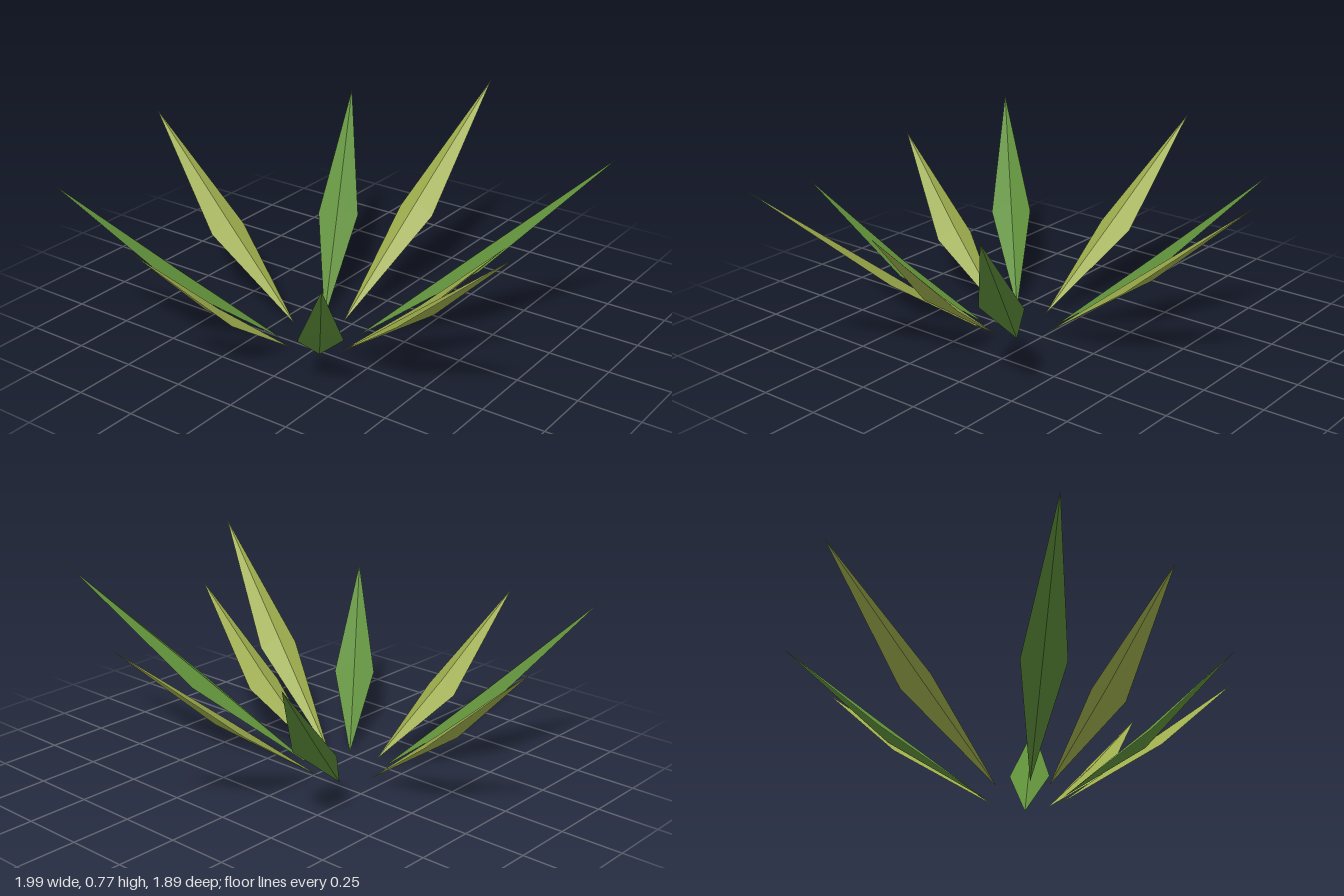
import * as THREE from 'three';

const lime = new THREE.MeshStandardMaterial({ color: 0x9dac4c, side: THREE.DoubleSide });
lime.name = 'limeLeaf';
const green = new THREE.MeshStandardMaterial({ color: 0x5f8f3a, side: THREE.DoubleSide });
green.name = 'greenLeaf';

const HALF_WIDTH = 0.083;
const RIDGE = 0.04; // height of the midrib above the leaf edges

// Three leaf sizes: tip height and height of the widest point
const LARGE = { tip: 0.77, mid: 0.332 };
const MEDIUM = { tip: 0.69, mid: 0.287 };
const SMALL = { tip: 0.61, mid: 0.237 };

// Folded, pointed leaf made of four flat facets
function leafGeometry([bx, bz], [tx, tz], size) {
  const base = new THREE.Vector3(bx, 0, bz);
  const tip = new THREE.Vector3(tx, size.tip, tz);
  const side = new THREE.Vector3(-(tz - bz), 0, tx - bx).setLength(HALF_WIDTH);
  const mid = base.clone().lerp(tip, 0.48).setY(size.mid);
  const a = mid.clone().add(side);
  const b = mid.clone().sub(side);
  const ridge = mid.clone().setY(size.mid + RIDGE);
  const corners = [base, a, ridge, base, ridge, b, a, tip, ridge, ridge, tip, b];
  const geometry = new THREE.BufferGeometry().setFromPoints(corners);
  geometry.computeVertexNormals();
  return geometry;
}

// Rosette: base (x, z), tip (x, z), size, colour
const LEAVES = [
  ['backLeaf', [-0.037, 0.01], [0.046, -0.95], LARGE, lime],
  ['backLeftLeaf', [-0.118, 0.025], [-0.497, -0.697], MEDIUM, green],
  ['leftwardLeaf', [-0.187, 0.13], [-1, -0.012], MEDIUM, lime],
  ['frontLeftLeaf', [-0.155, 0.255], [-0.757, 0.805], MEDIUM, green],
  ['frontLeaf', [-0.085, 0.29], [-0.257, 0.944], SMALL, lime],
  ['frontRightLeaf', [0.04, 0.27], [0.45, 0.8], SMALL, green],
  ['lowRightLeaf', [0.096, 0.205], [0.993, 0.525], LARGE, lime],
  ['rightwardLeaf', [0.096, 0.157], [0.767, 0.157], SMALL, lime],
  ['backRightLeaf', [0.075, 0.07], [0.88, -0.44], LARGE, green],
];

// The model's left is +x, so names are swapped from plan to model sides
const modelSide = (name) =>
  name.replace(/left|right/i, (s) => ({ left: 'right', right: 'left', Left: 'Right', Right: 'Left' })[s]);

export function createModel() {
  const plant = new THREE.Group();
  plant.name = 'leafRosette';
  for (const [name, base, tip, size, material] of LEAVES) {
    const leaf = new THREE.Mesh(leafGeometry(base, tip, size), material);
    leaf.name = modelSide(name);
    plant.add(leaf);
  }
  return plant;
}
